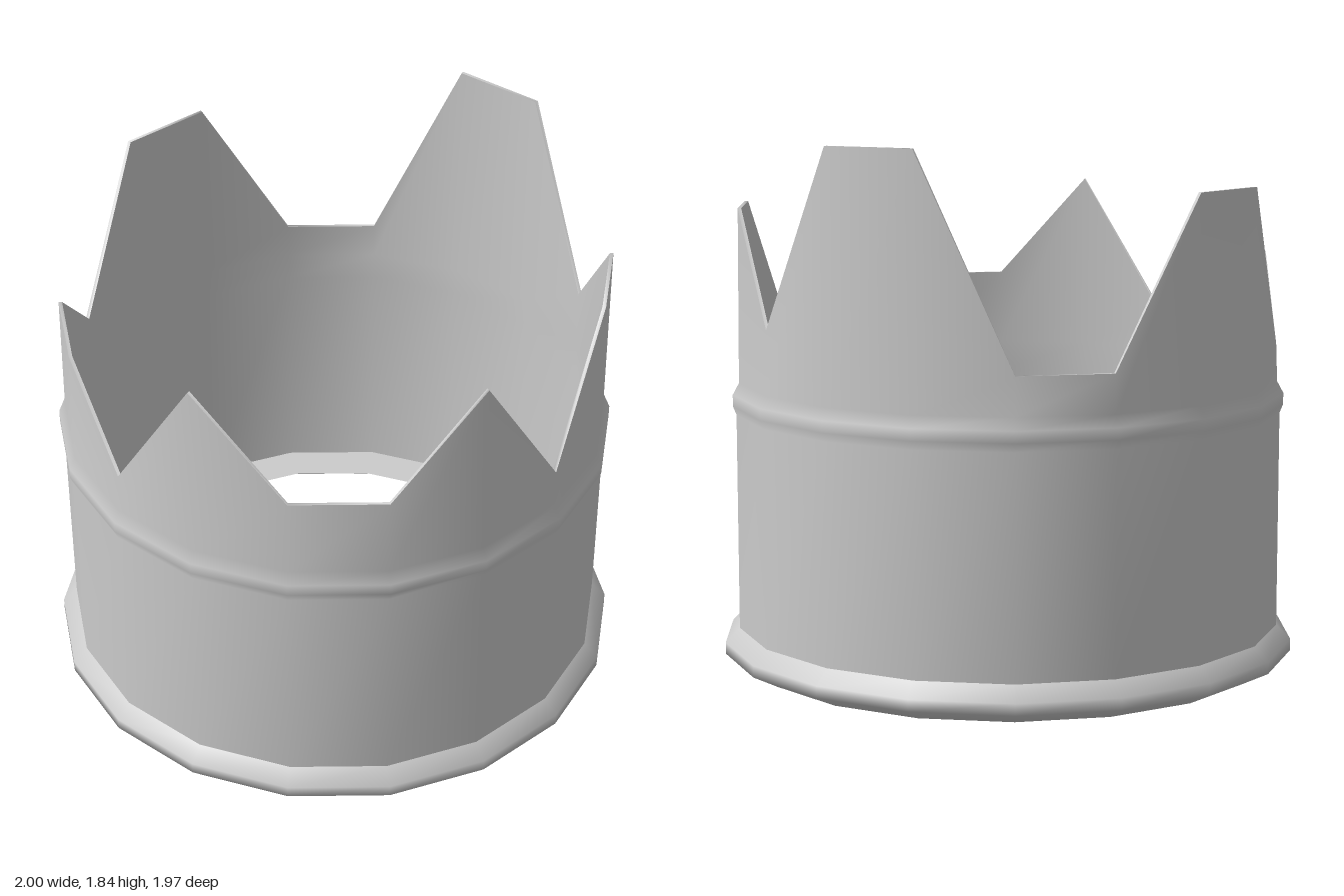
import * as THREE from 'three';

const SIDES = 18;
const WALL = 0.012;
const RIM_R = 0.935;

// Height of the jagged rim at each corner, starting at +x and turning towards +z
const RIM = [1.22, 1.6, 1.6, 1.14, 1.63, 1.27, 1.27, 1.63, 1.14,
  1.42, 1.42, 1.13, 1.69, 1.69, 1.13, 1.13, 1.84, 1.84];

// Skin a list of rings [radius, height]; a height may be a list with one value per corner
function skin(name, rings, material) {
  const pos = [], index = [];
  rings.forEach(([r, y], j) => {
    for (let i = 0; i < SIDES; i++) {
      const a = (i / SIDES) * Math.PI * 2;
      pos.push(r * Math.cos(a), Array.isArray(y) ? y[i] : y, r * Math.sin(a));
      if (j === 0) continue;
      const n = (i + 1) % SIDES, lo = (j - 1) * SIDES, hi = j * SIDES;
      index.push(lo + i, hi + i, lo + n, lo + n, hi + i, hi + n);
    }
  });
  const g = new THREE.BufferGeometry();
  g.setAttribute('position', new THREE.Float32BufferAttribute(pos, 3));
  g.setIndex(index);
  g.computeVertexNormals();
  const mesh = new THREE.Mesh(g, material);
  mesh.name = name;
  return mesh;
}

export function createModel() {
  const group = new THREE.Group();
  group.name = 'crown';
  const mat = new THREE.MeshStandardMaterial({ color: 0xcccccc, side: THREE.DoubleSide });

  group.add(
    // Rounded foot ring, from the hole underneath out to the wall
    skin('footRing', [[0.8, 0.05], [0.85, 0.01], [0.91, 0.005], [1, 0.05], [1, 0.09], [0.95, 0.14]], mat),
    // Outer wall with the raised band below the points
    skin('outerWall', [[0.95, 0.14], [0.95, 0.89], [0.962, 0.92], [0.962, 0.96], [0.94, 1.0], [RIM_R, RIM]], mat),
    // Thin cut edge along the points
    skin('rimEdge', [[RIM_R, RIM], [RIM_R - WALL, RIM]], mat),
    // Inner wall, top to bottom
    skin('innerWall', [[RIM_R - WALL, RIM], [0.928, 1.0], [0.938, 0.89], [0.938, 0.05]], mat),
    // Flat ledge inside the foot
    skin('innerLedge', [[0.938, 0.05], [0.8, 0.05]], mat),
  );
  return group;
}
